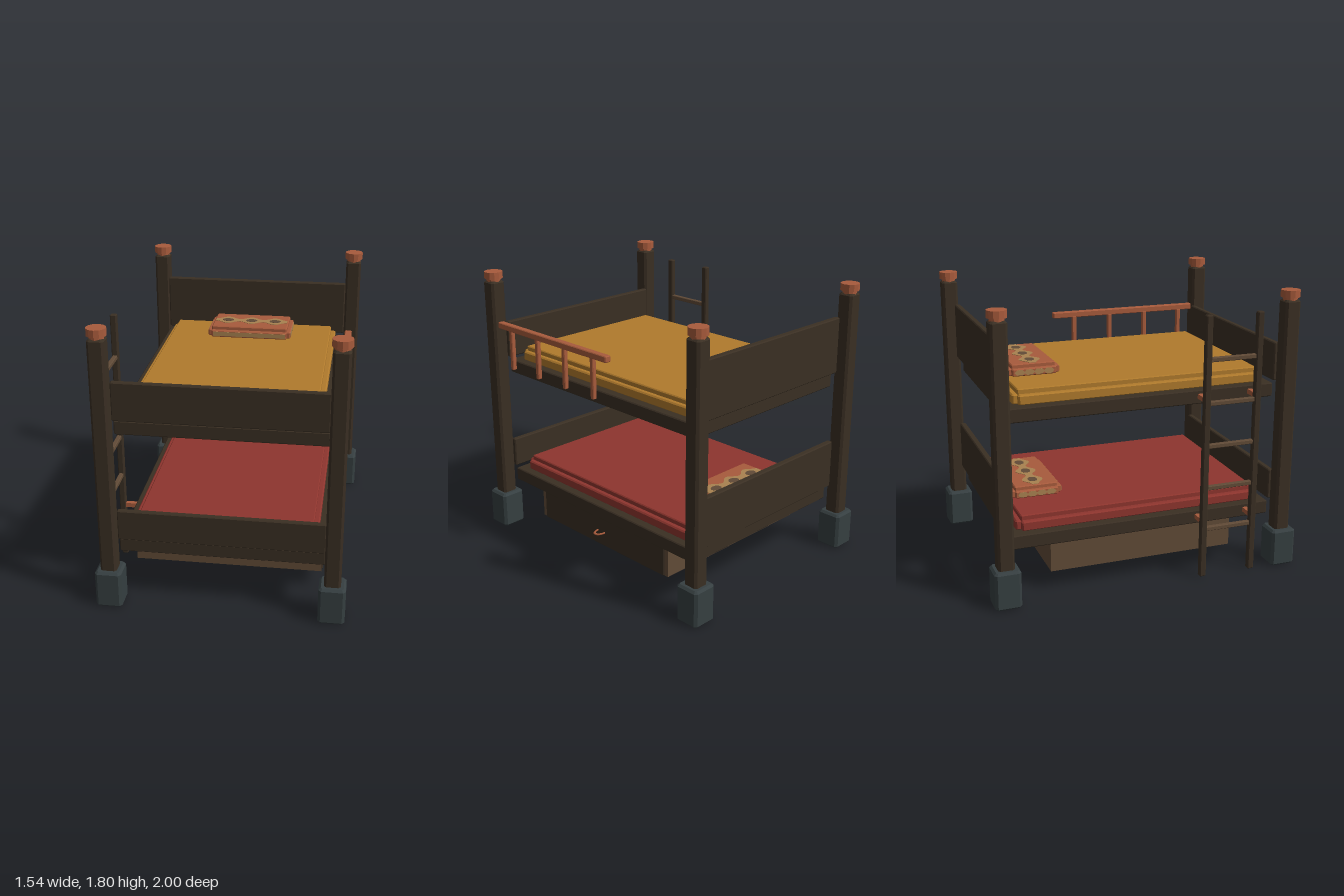
import * as THREE from 'three';

const mat = (name, color, side = THREE.FrontSide) => {
  const m = new THREE.MeshStandardMaterial({ color, side });
  m.name = name;
  return m;
};

// Box with all edges chamfered by c, extruded upward and centred
function chamferBox(w, h, d, c) {
  const a = w / 2 - c, b = d / 2 - c, k = c * 0.6;
  const s = new THREE.Shape([
    [a - k, -b], [a, -b + k], [a, b - k], [a - k, b],
    [-a + k, b], [-a, b - k], [-a, -b + k], [-a + k, -b],
  ].map(([x, y]) => new THREE.Vector2(x, y)));
  const g = new THREE.ExtrudeGeometry(s, {
    depth: h - 2 * c, bevelEnabled: true, bevelSize: c, bevelThickness: c, bevelSegments: 1,
  });
  g.translate(0, 0, -(h - 2 * c) / 2);
  return g.rotateX(-Math.PI / 2);
}

export function createModel() {
  const root = new THREE.Group();
  root.name = 'bunkBed';
  const darkWood = mat('darkWood', 0x3a2f23);
  const brownWood = mat('brownWood', 0x614b37);
  const copper = mat('copper', 0xa85b3c);
  const slate = mat('slate', 0x363f41);
  const yellow = mat('yellowCloth', 0xb07a2c);
  const red = mat('redCloth', 0x8e352e);
  const tan = mat('tanPattern', 0xa98250);

  const add = (name, geo, material, x = 0, y = 0, z = 0, parent = root) => {
    const m = new THREE.Mesh(geo, material);
    m.name = name;
    m.position.set(x, y, z);
    parent.add(m);
    return m;
  };
  // Box given by its minimum and maximum corners
  const span = (name, material, [x0, y0, z0], [x1, y1, z1], c = 0, parent = root) => {
    const w = x1 - x0, h = y1 - y0, d = z1 - z0;
    const g = c ? chamferBox(w, h, d, c) : new THREE.BoxGeometry(w, h, d);
    return add(name, g, material, (x0 + x1) / 2, (y0 + y1) / 2, (z0 + z1) / 2, parent);
  };

  // Corner posts with feet and round caps
  const foot = chamferBox(0.165, 0.245, 0.165, 0.014);
  const post = chamferBox(0.102, 1.52, 0.102, 0.012);
  const neck = new THREE.CylinderGeometry(0.045, 0.045, 0.03, 12).toNonIndexed();
  const cap = new THREE.CylinderGeometry(0.06, 0.06, 0.045, 12).toNonIndexed();
  neck.computeVertexNormals();
  cap.computeVertexNormals();
  for (const sx of [-1, 1]) {
    for (const sz of [-1, 1]) {
      const g = new THREE.Group();
      g.name = 'cornerPost';
      g.position.set(sx * 0.687, 0, sz * 0.917);
      root.add(g);
      add('foot', foot, slate, 0, 0.1225, 0, g);
      add('post', post, darkWood, 0, 0.985, 0, g);
      add('capNeck', neck, copper, 0, 1.75, 0, g);
      add('cap', cap, copper, 0, 1.782, 0, g);
    }
  }

  // Pillow pattern: a wavy band with three bulges, and ovals inside them
  const bandPoints = [];
  const half = (x) => 0.045 + 0.022 * Math.cos((x / 0.165) * Math.PI * 2);
  for (let i = 0; i <= 40; i++) {
    const x = -0.25 + i * 0.0125;
    bandPoints.push(new THREE.Vector2(x, half(x)));
  }
  const band = new THREE.Shape([
    ...bandPoints,
    ...bandPoints.map((p) => new THREE.Vector2(p.x, -p.y)).reverse(),
  ]);
  const bandGeo = new THREE.ExtrudeGeometry(band, { depth: 0.003, bevelEnabled: false });
  bandGeo.rotateX(-Math.PI / 2);
  const ovalGeo = new THREE.CylinderGeometry(0.036, 0.036, 0.003, 12).scale(1.1, 1, 0.85);
  const diamondGeo = new THREE.CylinderGeometry(0.03, 0.03, 0.004, 6);

  function pillow(y) {
    const g = new THREE.Group();
    g.name = 'pillow';
    g.position.set(0, y, -0.597);
    root.add(g);
    span('pillowCore', copper, [-0.26, 0, -0.14], [0.26, 0.075, 0.14], 0.006, g);
    span('pillowEnds', copper, [-0.285, 0.004, -0.14], [0.285, 0.05, 0.14], 0.006, g);
    span('pillowSides', copper, [-0.26, 0.004, -0.167], [0.26, 0.05, 0.167], 0.006, g);
    add('patternBand', bandGeo, tan, 0, 0.0745, 0, g);
    for (const x of [-0.165, 0, 0.165]) add('patternOval', ovalGeo, brownWood, x, 0.077, 0, g);
    // Side patterns
    for (const s of [-1, 1]) {
      span('sidePattern', tan, [-0.25, 0.012, s * 0.167 - 0.002], [0.25, 0.042, s * 0.167 + 0.002], 0, g);
      for (const z of [-0.092, -0.031, 0.031, 0.092]) {
        const d = add('endPattern', diamondGeo, tan, s * 0.285, 0.027, z, g);
        d.rotation.z = Math.PI / 2;
        d.scale.set(0.65, 1, 1.15);
      }
    }
  }

  // Two bunks: frame, mattress, pillow, headboard and footboard
  for (const [y, cloth, headTop, footTop] of [[0.325, red, 0.747, 0.625], [1.12, yellow, 1.587, 1.465]]) {
    span('bedFrame', darkWood, [-0.637, y, -0.853], [0.637, y + 0.088, 0.853], 0.006);
    const m = y + 0.085;
    span('mattressTop', cloth, [-0.55, m, -0.778], [0.55, m + 0.093, 0.778], 0.006);
    span('mattressSides', cloth, [-0.582, m, -0.778], [0.582, m + 0.062, 0.778], 0.008);
    span('mattressEnds', cloth, [-0.55, m, -0.81], [0.55, m + 0.062, 0.81], 0.008);
    pillow(m + 0.091);
    span('headboard', darkWood, [-0.637, y + 0.102, -0.893], [0.637, headTop, -0.853], 0.006);
    span('footboard', darkWood, [-0.637, y + 0.102, 0.853], [0.637, footTop, 0.89], 0.006);
    // Ladder hooks
    for (const z of [0.352, 0.69]) {
      span('ladderHook', copper, [-0.73, y + 0.035, z - 0.015], [-0.63, y + 0.065, z + 0.015]);
    }
  }

  // Guard rail on the upper bunk
  span('guardRail', copper, [0.664, 1.433, -0.19], [0.709, 1.474, 0.87], 0.005);
  for (const z of [0.765, 0.497, 0.23, -0.037]) {
    span('guardBaluster', copper, [0.66, 1.163, z - 0.015], [0.69, 1.44, z + 0.015], 0.004);
  }

  // Ladder
  for (const z of [0.352, 0.69]) {
    span('ladderRail', darkWood, [-0.756, 0.005, z - 0.021], [-0.716, 1.695, z + 0.021], 0.005);
  }
  for (let i = 0; i < 5; i++) {
    const y = 0.325 + i * 0.274;
    span('ladderRung', brownWood, [-0.75, y - 0.014, 0.36], [-0.721, y + 0.014, 0.68], 0.004);
  }

  // Drawer with an inset front panel between corner strips
  span('drawerBody', brownWood, [-0.592, 0.123, -0.605], [0.585, 0.313, 0.605]);
  span('drawerFront', darkWood, [0.58, 0.12, -0.575], [0.61, 0.317, 0.575], 0.005);
  for (const s of [-1, 1]) {
    span('drawerStrip', brownWood, [0.58, 0.123, s * 0.59 - 0.015], [0.603, 0.313, s * 0.59 + 0.015]);
    span('drawerRunner', darkWood, [-0.58, 0.31, s * 0.535 - 0.03], [0.58, 0.33, s * 0.535 + 0.03]);
  }
  // Drawer pull
  const pull = add('drawerPull', new THREE.TorusGeometry(0.032, 0.006, 6, 12, Math.PI), copper, 0.61, 0.218, 0);
  pull.rotation.set(Math.PI / 2, 0, -Math.PI / 2);
  pull.scale.set(1, 1.6, 1);

  return root;
}
